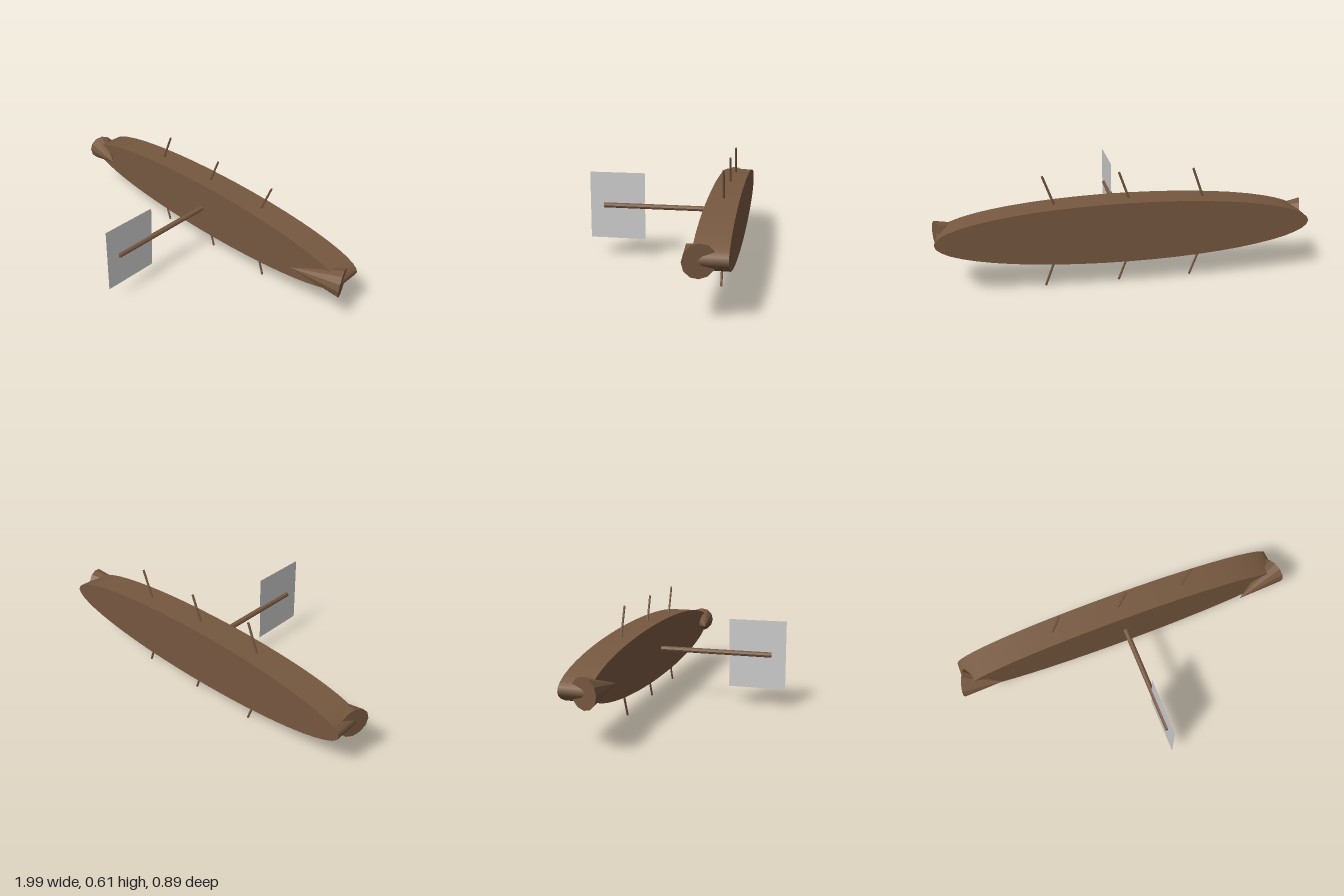
import * as THREE from 'three';

const wood = new THREE.MeshStandardMaterial({ color: 0x765840 });
const facetedWood = new THREE.MeshStandardMaterial({ color: 0x765840, flatShading: true });
const cloth = new THREE.MeshStandardMaterial({ color: 0xcccccc, side: THREE.DoubleSide });

const CENTER_Y = 0.306;
const HULL_Z = -0.363;

function addMesh(parent, name, geometry, material, x, y, z) {
  const mesh = new THREE.Mesh(geometry, material);
  mesh.name = name;
  mesh.position.set(x, y, z);
  parent.add(mesh);
  return mesh;
}

export function createModel() {
  const ship = new THREE.Group();
  ship.name = 'ship';

  // Hull: a flat elliptical slab facing the front
  const hull = new THREE.CylinderGeometry(1, 1, 0.162, 48);
  hull.rotateX(Math.PI / 2).scale(0.972, 0.161, 1);
  addMesh(ship, 'hull', hull, wood, 0, CENTER_Y, HULL_Z);

  // Mast, rising from the middle of the hull
  const mast = new THREE.CylinderGeometry(0.015, 0.015, 0.728, 8);
  mast.rotateX(Math.PI / 2);
  addMesh(ship, 'mast', mast, facetedWood, 0, CENTER_Y, 0.001);

  // Sail: a thin sheet along the mast
  const sail = new THREE.PlaneGeometry(0.322, 0.388);
  sail.rotateY(Math.PI / 2);
  addMesh(ship, 'sail', sail, cloth, 0, CENTER_Y - 0.001, 0.284);

  // End cones: points turned inward and tilted 20 degrees off the hull
  const tilt = THREE.MathUtils.degToRad(20);
  for (const [name, side, length] of [['bowCone', 1, 0.28], ['sternCone', -1, 0.215]]) {
    const cone = new THREE.ConeGeometry(0.08, length, 12);
    cone.translate(0, length / 2, 0);
    cone.rotateZ(side * Math.PI / 2);
    cone.rotateY(side * tilt);
    addMesh(ship, name, cone, facetedWood, side * 0.968, CENTER_Y, -0.317);
  }

  // Oars: three slanted rods along each edge of the hull
  const oars = new THREE.Group();
  oars.name = 'oars';
  ship.add(oars);
  const rod = new THREE.CylinderGeometry(0.006, 0.006, 0.238, 8);
  for (const side of [1, -1]) {
    for (const x of [-0.389, 0, 0.389]) {
      const oar = addMesh(oars, 'oar', rod, wood, x, CENTER_Y + side * 0.189, HULL_Z);
      oar.rotation.z = -side * tilt;
    }
  }
  return ship;
}
